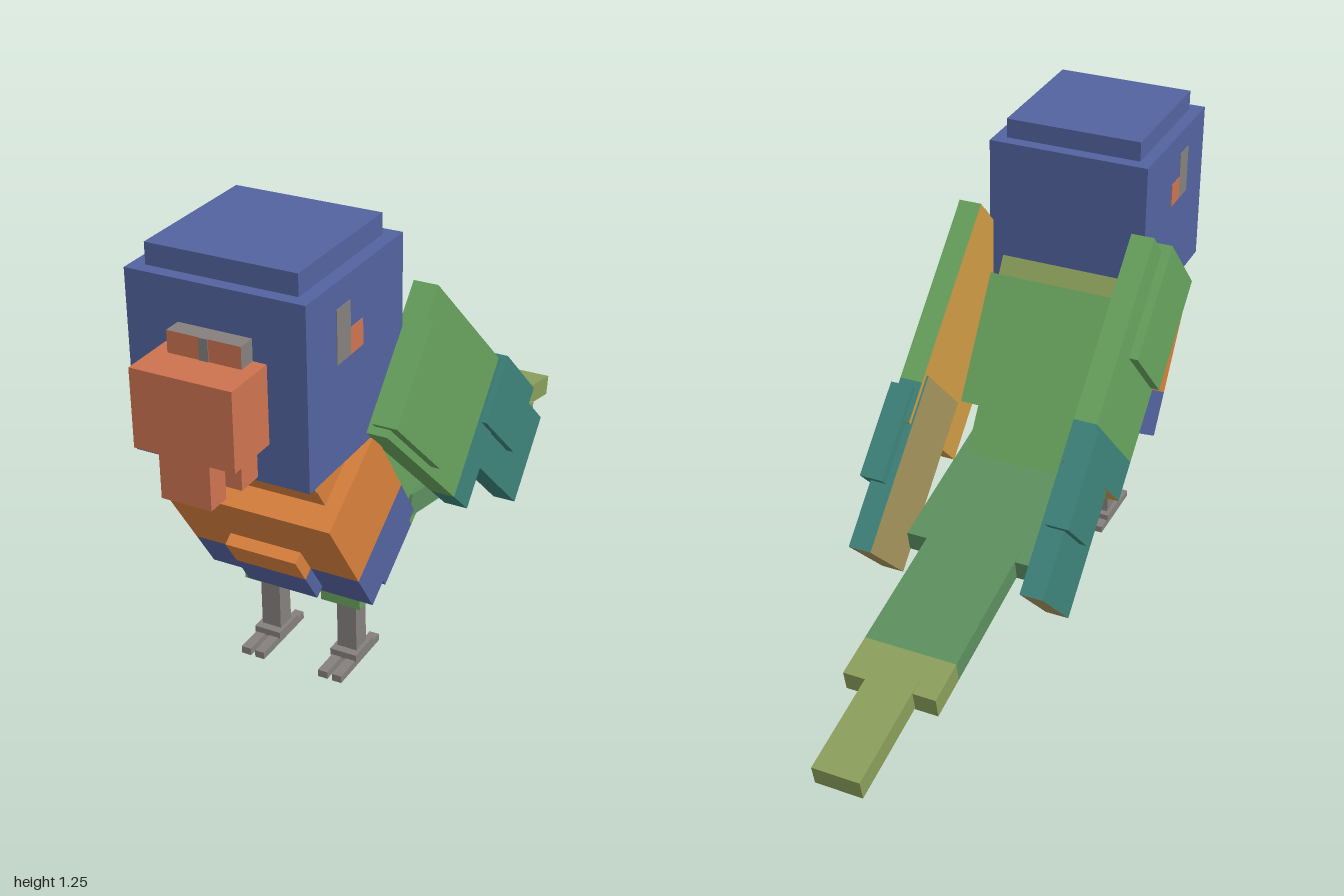
import * as THREE from 'three';

const mat = (name, color) => {
  const m = new THREE.MeshStandardMaterial({ color });
  m.name = name;
  return m;
};

export function createModel() {
  const blue = mat('blue', 0x5363a0), coral = mat('coral', 0xcd7350), orange = mat('orange', 0xd8803c),
    gold = mat('gold', 0xcf9a45), tan = mat('tan', 0xa3935a), green = mat('green', 0x68a35e),
    tailGreen = mat('tail green', 0x5d8f5f), teal = mat('teal', 0x3d827a),
    olive = mat('olive', 0x8a9f5b), grey = mat('grey', 0x85807e);

  const root = new THREE.Group();
  root.name = 'bird';

  // Box from its extents; material may be a list ordered +x -x +y -y +z -z
  const box = (parent, name, [x0, x1], [y0, y1], [z0, z1], material) => {
    const mesh = new THREE.Mesh(new THREE.BoxGeometry(x1 - x0, y1 - y0, z1 - z0), material);
    mesh.position.set((x0 + x1) / 2, (y0 + y1) / 2, (z0 + z1) / 2);
    mesh.name = name;
    parent.add(mesh);
  };
  const both = (w) => [-w, w];
  const span = (s, a, b) => (s > 0 ? [a, b] : [-b, -a]);
  // Tilted frame, in which parts are placed by distance down and back from its origin
  const frame = (name, y, z, degrees) => {
    const g = new THREE.Group();
    g.name = name;
    g.position.set(0, y, z);
    g.rotation.x = THREE.MathUtils.degToRad(degrees);
    root.add(g);
    return (part, x, [d0, d1], [b0, b1], m) => box(g, part, x, [-d1, -d0], [-b1, -b0], m);
  };

  // Head and beak
  box(root, 'head', both(0.23), [0.73, 1.19], [0.392, 0.853], blue);
  box(root, 'crown', both(0.195), [1.19, 1.245], [0.428, 0.82], blue);
  box(root, 'beak', both(0.13), [0.832, 1.03], [0.853, 1], coral);
  box(root, 'beakTip', both(0.065), [0.72, 0.832], [0.938, 1], coral);
  box(root, 'lowerBeak', both(0.097), [0.74, 0.832], [0.853, 0.922], coral);
  box(root, 'cere', both(0.095), [1.03, 1.085], [0.853, 0.9], [grey, grey, grey, grey, coral, grey]);
  box(root, 'cereStripe', both(0.012), [1.03, 1.085], [0.898, 0.902], grey);
  for (const s of [1, -1]) {
    const x = span(s, 0.228, 0.232);
    box(root, 'eye', x, [0.99, 1.125], [0.655, 0.719], grey);
    box(root, 'eyeCorner', x, [0.99, 1.056], [0.596, 0.655], coral);
  }

  // Body, leaning forward
  const body = frame('body', 0.58, 0.767, 33.2);
  body('chest', both(0.23), [0, 0.257], [0, 0.275], orange);
  body('lowerChest', both(0.23), [0.257, 0.39], [0, 0.275], blue);
  body('breastPlate', both(0.098), [0.17, 0.257], [-0.032, 0.01], orange);
  body('lowerBreastPlate', both(0.098), [0.257, 0.36], [-0.032, 0.01], blue);
  body('neck', both(0.19), [-0.16, 0.02], [0.064, 0.27], orange);
  body('nape', both(0.19), [-0.16, 0.05], [0.27, 0.46], olive);
  body('neckSpot', [-0.06, 0], [-0.16, -0.066], [0.061, 0.066], olive);
  body('neckSpot', [0.13, 0.19], [-0.16, -0.066], [0.061, 0.066], olive);
  body('back', both(0.195), [0.04, 0.41], [0.27, 0.51], green);
  body('belly', both(0.165), [0.38, 0.56], [0.123, 0.305], [blue, blue, blue, green, blue, blue]);
  body('rump', both(0.165), [0.38, 0.56], [0.305, 0.45], green);

  // Wings, with gold and tan linings
  for (const s of [1, -1]) {
    const wing = frame(s > 0 ? 'leftWing' : 'rightWing', 1.035, 0.312, -43.5);
    const lined = (outer, lining) => [
      s > 0 ? outer : lining, s > 0 ? lining : outer, outer, outer, outer, lining];
    wing('upperWing', span(s, 0.22, 0.285), [0, 0.39], [0, 0.525], lined(green, gold));
    wing('upperWingTip', span(s, 0.22, 0.285), [0, 0.39], [0.525, 0.64], lined(teal, gold));
    wing('shoulderPlate', span(s, 0.245, 0.31), [0.095, 0.37], [-0.02, 0.31], green);
    wing('lowerWing', span(s, 0.215, 0.28), [0.016, 0.273], [0.5, 1], lined(teal, tan));
    wing('featherPlate', span(s, 0.235, 0.3), [-0.016, 0.175], [0.545, 0.813], teal);
  }

  // Tail in overlapping, narrowing pieces with an olive underside
  const tail = frame('tail', 0.4, 0.25, -11.7);
  const under = [tailGreen, tailGreen, tailGreen, olive, tailGreen, tailGreen];
  tail('tailBase', both(0.19), [0, 0.062], [0, 0.5], under);
  tail('tailMiddle', both(0.13), [-0.003, 0.059], [0.47, 0.868], under);
  tail('tailMiddleEnd', both(0.13), [-0.003, 0.059], [0.868, 0.99], olive);
  tail('tailTip', both(0.066), [-0.007, 0.054], [0.95, 1.277], olive);

  // Legs and feet
  for (const s of [1, -1]) {
    box(root, 'thigh', span(s, 0.056, 0.168), [0.245, 0.38], [0.392, 0.505], olive);
    box(root, 'thighCuff', span(s, 0.056, 0.168), [0.19, 0.245], [0.392, 0.505], green);
    box(root, 'shin', span(s, 0.085, 0.14), [0.03, 0.19], [0.42, 0.473], grey);
    box(root, 'footPad', span(s, 0.075, 0.15), [0.018, 0.037], [0.4, 0.495], grey);
    box(root, 'toe', span(s, 0.08, 0.107), [0, 0.02], [0.36, 0.57], grey);
    box(root, 'toe', span(s, 0.12, 0.147), [0, 0.02], [0.36, 0.57], grey);
  }
  return root;
}
